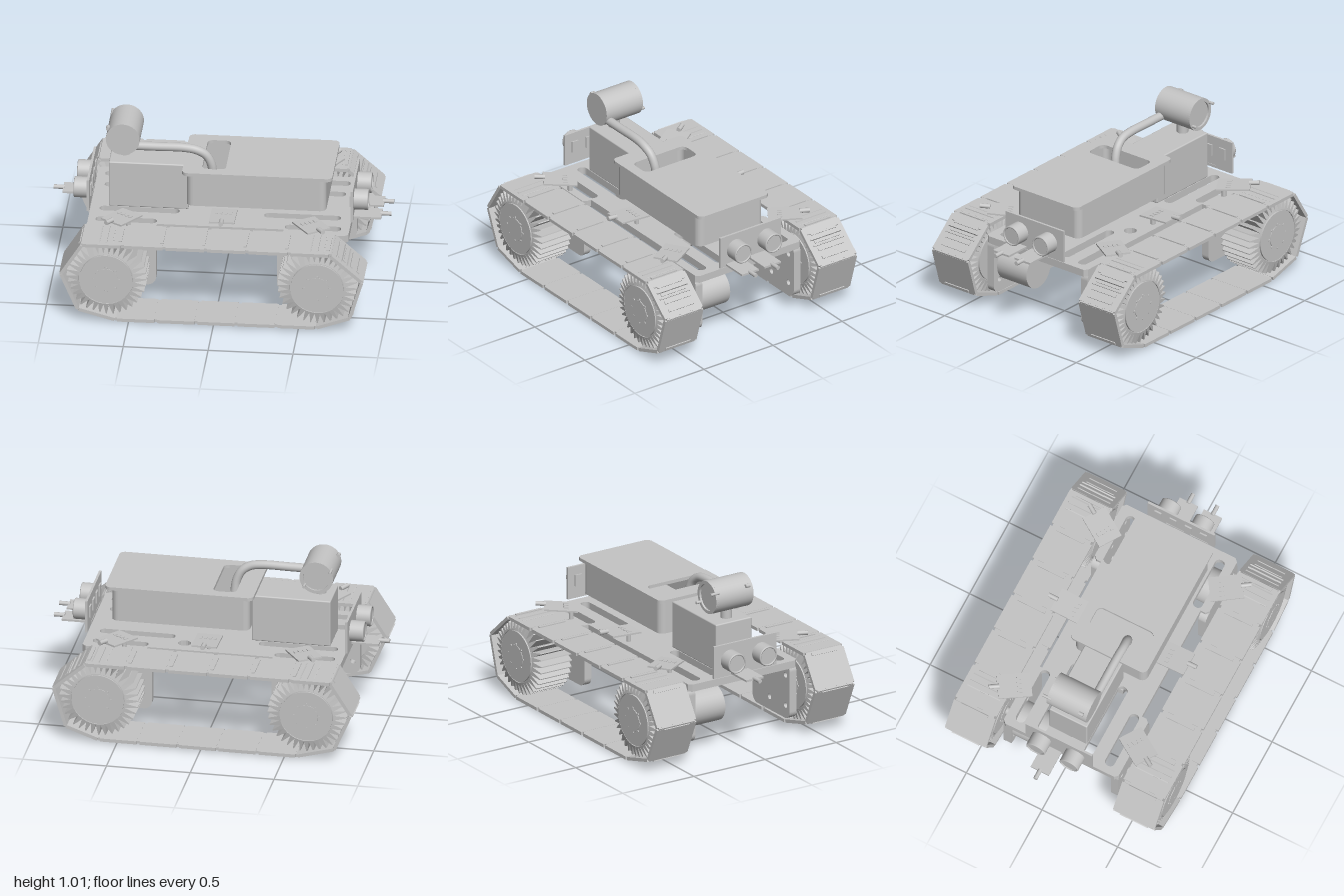
import * as THREE from 'three';
import { RoundedBoxGeometry } from 'three/addons/geometries/RoundedBoxGeometry.js';

const grey = new THREE.MeshStandardMaterial({ name: 'plain grey', color: 0xc4c4c4 });

function add(parent, name, geo, x = 0, y = 0, z = 0) {
  const m = new THREE.Mesh(geo, grey);
  m.name = name;
  m.position.set(x, y, z);
  parent.add(m);
  return m;
}
function group(parent, name, x = 0, y = 0, z = 0) {
  const g = new THREE.Group();
  g.name = name;
  g.position.set(x, y, z);
  parent.add(g);
  return g;
}
const box = (w, h, d) => new THREE.BoxGeometry(w, h, d);
const cylY = (r, h, n = 32) => new THREE.CylinderGeometry(r, r, h, n);
const cylZ = (r, h, n = 32) => cylY(r, h, n).rotateX(Math.PI / 2);
const cylX = (r, h, n = 32) => cylY(r, h, n).rotateZ(Math.PI / 2);

// Rounded rectangle outline, usable as a shape or a hole
function roundRect(x0, y0, x1, y1, r, Type = THREE.Shape) {
  const s = new Type();
  s.moveTo(x0 + r, y0);
  s.lineTo(x1 - r, y0).absarc(x1 - r, y0 + r, r, -Math.PI / 2, 0);
  s.lineTo(x1, y1 - r).absarc(x1 - r, y1 - r, r, 0, Math.PI / 2);
  s.lineTo(x0 + r, y1).absarc(x0 + r, y1 - r, r, Math.PI / 2, Math.PI);
  s.lineTo(x0, y0 + r).absarc(x0 + r, y0 + r, r, Math.PI, Math.PI * 1.5);
  return s;
}
const slot = (x0, y0, x1, y1, r) => roundRect(x0, y0, x1, y1, r, THREE.Path);
const hole = (x, y, r) => new THREE.Path().absarc(x, y, r, 0, Math.PI * 2);
const polygon = pts => pts.map(p => new THREE.Vector2(...p));
const plate = (shape, depth) =>
  new THREE.ExtrudeGeometry(shape, { depth, bevelEnabled: false, curveSegments: 8 });
// Horizontal plate: shape y becomes -z, thickness goes up
const flat = (shape, depth) => plate(shape, depth).rotateX(-Math.PI / 2);

// One track: a loop of hinged plates with ribs
function track(parent) {
  const g = group(parent, 'track');
  const pts = [[-0.78, 0.506], [0.69, 0.506], [0.885, 0.335], [0.81, 0.085],
    [0.607, 0.012], [-0.575, 0.008], [-0.805, 0.07], [-0.907, 0.305]];
  pts.forEach(([x0, y0], i) => {
    const [x1, y1] = pts[(i + 1) % pts.length];
    const len = Math.hypot(x1 - x0, y1 - y0);
    const side = group(g, 'trackSide', x0, y0);
    side.rotation.z = Math.atan2(y1 - y0, x1 - x0);
    const n = Math.round(len / 0.24), step = len / n;
    const ribs = i === 1 ? [0.2, 0.4, 0.6, 0.8] : [0.93];
    for (let k = 0; k < n; k++) {
      const cx = (k + 0.5) * step;
      add(side, 'trackLink', box(step, 0.018, 0.25), cx, -0.009);
      add(side, 'linkEdge', box(step - 0.018, 0.02, 0.274), cx, -0.009);
      for (const r of ribs) add(side, 'linkRib', box(0.018, 0.014, 0.18), (k + r) * step, 0);
    }
  });
  return g;
}

// Tooth: a hipped ridge, narrow at the tip
function toothGeometry() {
  const geo = box(0.031, 0.075, 0.25).toNonIndexed(), p = geo.attributes.position;
  for (let i = 0; i < p.count; i++) {
    if (p.getY(i) > 0) p.setXYZ(i, p.getX(i) * 0.2, p.getY(i), p.getZ(i) * 0.86);
  }
  geo.computeVertexNormals();
  return geo;
}

// Toothed wheel with a disc and bolted hub
function wheel(parent, x, y) {
  const g = group(parent, 'wheel', x, y);
  const teeth = 36, tooth = toothGeometry();
  for (let i = 0; i < teeth; i++) {
    const a = i / teeth * Math.PI * 2;
    add(g, 'tooth', tooth, -Math.sin(a) * 0.1985, Math.cos(a) * 0.1985).rotation.z = a;
  }
  add(g, 'wheelDrum', cylZ(0.168, 0.235, 36));
  add(g, 'wheelDisc', cylZ(0.155, 0.256, 36));
  add(g, 'hub', cylZ(0.07, 0.264));
  for (let i = 0; i < 8; i++) {
    const a = i * Math.PI / 4;
    add(g, 'hubBolt', cylZ(0.008, 0.266, 8), Math.cos(a) * 0.076, Math.sin(a) * 0.076);
  }
}

// Small circuit board on a post, its sensor pin pointing along -z
function sensorBoard(parent, x, z, angle) {
  const g = group(parent, 'sensorBoard', x, 0.55, z);
  g.rotation.y = angle;
  const tilt = group(g, 'boardTop');
  tilt.rotation.x = 0.06;
  add(tilt, 'board', box(0.15, 0.01, 0.2));
  add(tilt, 'sensorPin', cylZ(0.014, 0.06, 12), 0, 0.013, -0.12);
  for (const i of [-1.5, -0.5, 0.5, 1.5]) add(tilt, 'chip', box(0.016, 0.006, 0.028), i * 0.028, 0.006, 0.03);
  add(g, 'post', cylY(0.014, 0.08, 12), 0, -0.04, 0.06);
}

// Twin round range sensor on an upright plate, facing +x
function rangeSensor(parent) {
  const g = group(parent, 'rangeSensor', 0.77, 0.585);
  add(g, 'sensorPlate', box(0.014, 0.2, 0.44));
  for (const z of [-0.11, 0.11]) {
    add(g, 'sensorEye', cylX(0.062, 0.08), 0.045, 0, z);
    add(g, 'eyeRim', new THREE.TorusGeometry(0.056, 0.006, 8, 32).rotateY(Math.PI / 2), 0.085, 0, z);
  }
  for (const z of [-0.15, -0.05, 0.05, 0.15]) add(g, 'chip', box(0.012, 0.07, 0.045), -0.01, 0.01, z);
}

// Flat end board with a forward pin along +x
function endBoard(parent, z) {
  const g = group(parent, 'endBoard', 0.85, 0.498, z);
  add(g, 'board', box(0.18, 0.012, 0.12));
  add(g, 'pin', cylX(0.013, 0.065, 12), 0.113, 0.005, 0);
}

export function createModel() {
  const model = new THREE.Group();
  model.name = 'trackedRover';

  // Deck, wider at both ends, with slots
  const deck = new THREE.Shape(polygon([[-0.775, -0.36], [-0.755, -0.38], [-0.385, -0.38], [-0.365, -0.36],
    [-0.365, -0.33], [0.38, -0.33], [0.38, -0.36], [0.4, -0.38], [0.745, -0.38], [0.765, -0.36],
    [0.765, 0.36], [0.745, 0.38], [0.4, 0.38], [0.38, 0.36], [0.38, 0.33], [-0.365, 0.33],
    [-0.365, 0.36], [-0.385, 0.38], [-0.755, 0.38], [-0.775, 0.36]]));
  for (const s of [-1, 1]) {
    const row = (x0, x1, a, b) => deck.holes.push(slot(x0, Math.min(s * a, s * b), x1, Math.max(s * a, s * b), 0.028));
    row(-0.73, -0.37, 0.265, 0.325);
    row(0.385, 0.715, 0.265, 0.325);
    row(-0.72, -0.25, 0.125, 0.185);
    row(0.25, 0.7, 0.125, 0.185);
  }
  deck.holes.push(hole(0.18, 0.235, 0.038));
  add(model, 'deck', flat(deck, 0.045), 0, 0.43, 0);

  // Tracks, wheels and plates on both sides; one motor per side, diagonally opposite
  for (const s of [-1, 1]) {
    const side = group(model, s > 0 ? 'frontDrive' : 'backDrive');
    track(side).position.z = s * 0.556;
    for (const [x, x0, x1] of [[-0.632, -0.76, -0.366], [0.611, 0.347, 0.75]]) {
      wheel(group(side, 'wheelHolder', 0, 0, s * 0.556), x, 0.276);
      add(side, 'axle', cylZ(0.025, 0.12, 16), x, 0.276, s * 0.4);
      const p = roundRect(x0, 0.1, x1, 0.45, 0.05);
      for (const dx of [-0.085, 0.085]) for (const dy of [-0.095, 0.095]) p.holes.push(hole(x + dx, 0.276 + dy, 0.017));
      add(side, 'motorPlate', plate(p, 0.048), 0, 0, s * 0.355 - 0.024);
      if (x * s > 0) add(side, 'motor', cylZ(0.11, 0.225), x, 0.27, s * 0.22);
    }
  }

  // Battery cells held by two thin open clips
  const cells = group(model, 'batteryPack');
  const clip = new THREE.Shape(polygon([[-0.26, 0.43], [-0.265, 0.38], [-0.21, 0.31], [0.235, 0.31], [0.285, 0.38], [0.28, 0.43]]));
  clip.holes.push(new THREE.Path(polygon([[-0.255, 0.425], [-0.259, 0.382], [-0.207, 0.316], [0.232, 0.316], [0.279, 0.382], [0.275, 0.425]])));
  for (const z of [-0.15, 0.08]) add(cells, 'batteryClip', plate(clip, 0.07), 0, 0, z);
  for (const x of [-0.16, -0.047, 0.067, 0.18]) add(cells, 'batteryCell', cylZ(0.052, 0.3, 24), x, 0.363, 0);

  // Rear housing
  add(model, 'rearHousing', new RoundedBoxGeometry(0.47, 0.29, 0.25, 3, 0.008), -0.435, 0.62, 0);

  // Main body: open tub, floor, and lid with an opening
  const body = group(model, 'mainBody');
  const tub = roundRect(-0.2, -0.265, 0.623, 0.207, 0.04);
  tub.holes.push(slot(-0.185, -0.25, 0.608, 0.192, 0.03));
  add(body, 'tubWall', flat(tub, 0.205), 0, 0.573, 0);
  add(body, 'tubFloor', flat(roundRect(-0.2, -0.265, 0.623, 0.207, 0.04), 0.015), 0, 0.572, 0);
  const lid = roundRect(-0.225, -0.28, 0.66, 0.225, 0.035);
  lid.holes.push(slot(-0.112, -0.215, 0.027, 0.16, 0.035));
  add(body, 'lid', flat(lid, 0.02), 0, 0.772, 0);

  // Round head on a neck, with rim, pins and a hose into the body
  const head = group(model, 'head', -0.587, 0.915, 0);
  add(head, 'neck', cylY(0.034, 0.16, 24), 0, -0.12, 0);
  add(head, 'drum', cylZ(0.1, 0.25, 40), 0, 0, 0.002);
  const rim = new THREE.Shape().absarc(0, 0, 0.1, 0, Math.PI * 2);
  rim.holes.push(hole(0, 0, 0.08));
  add(head, 'drumRim', new THREE.ExtrudeGeometry(rim, { depth: 0.02, bevelEnabled: false, curveSegments: 24 }), 0, 0, -0.135);
  add(head, 'pin', cylZ(0.009, 0.06, 10), -0.085, 0.048, -0.135);
  add(head, 'pin', cylZ(0.009, 0.06, 10), 0.07, -0.05, -0.135);
  add(head, 'sideKnob', cylZ(0.012, 0.03, 10), -0.09, 0.055, 0.09);
  const hosePath = new THREE.CatmullRomCurve3([[-0.56, 0.866], [-0.4, 0.866], [-0.22, 0.866], [-0.15, 0.853], [-0.1, 0.82], [-0.07, 0.76], [-0.06, 0.69]]
    .map(([x, y], i) => new THREE.Vector3(x, y, 0.097 - (i > 3 ? (i - 3) * 0.007 : 0))));
  add(model, 'hose', new THREE.TubeGeometry(hosePath, 40, 0.026, 16));

  // Sensor boards along both sides
  for (const s of [-1, 1]) {
    const row = group(model, 'sensorRow');
    if (s > 0) row.rotation.y = Math.PI;
    sensorBoard(row, -s * 0.025, -0.34, 0);
    sensorBoard(row, s * 0.565, -0.41, -s * 0.58);
    sensorBoard(row, -s * 0.55, -0.41, s * 0.58);
  }

  // End sensors, facing out at both ends
  const rightEnd = group(model, 'rightEnd'), leftEnd = group(model, 'leftEnd', -0.013);
  leftEnd.rotation.y = Math.PI;
  rangeSensor(rightEnd);
  rangeSensor(leftEnd);
  endBoard(rightEnd, -0.04);
  endBoard(rightEnd, 0.12);
  endBoard(leftEnd, 0.04);
  return model;
}
